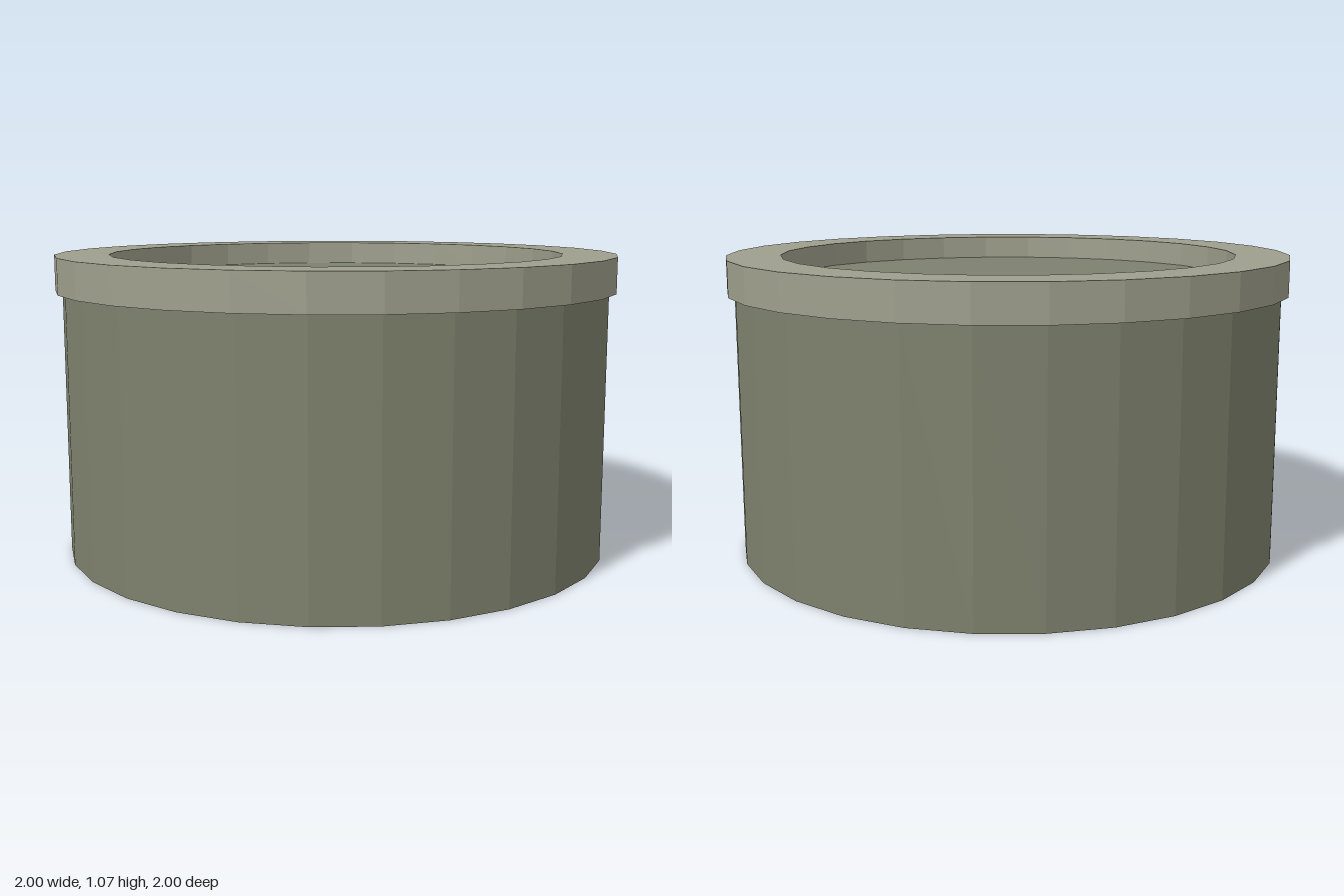
import * as THREE from 'three';

const SIDES = 28;
const BODY_R = 0.975, RIM_R = 1, HOLE_R = 0.81;
const RIM_BOTTOM = 0.94, RIM_TOP = 1.065, FLOOR_Y = 0.98;

const material = (color) => new THREE.MeshStandardMaterial({ color, flatShading: true });

// Faceted solid of revolution from [radius, height] pairs, outer side listed upwards
function turned(name, profile, mat) {
  const points = profile.map(([r, y]) => new THREE.Vector2(r, y));
  const mesh = new THREE.Mesh(new THREE.LatheGeometry(points, SIDES), mat);
  mesh.name = name;
  return mesh;
}

function disc(name, radius, y, facing, mat) {
  const geometry = new THREE.CircleGeometry(radius, SIDES);
  geometry.rotateX(-facing * Math.PI / 2);
  const mesh = new THREE.Mesh(geometry, mat);
  mesh.position.y = y;
  mesh.name = name;
  return mesh;
}

export function createModel() {
  const group = new THREE.Group();
  group.name = 'drum';
  const bodyMat = material(0x7e816d);
  const rimMat = material(0x9f9f8d);

  // Straight drum wall, base and recessed top
  group.add(turned('body', [[BODY_R, 0], [BODY_R, RIM_BOTTOM]], bodyMat));
  group.add(disc('base', BODY_R, 0, -1, bodyMat));
  group.add(disc('recessedTop', HOLE_R, FLOOR_Y, 1, bodyMat));

  // Overhanging rim: underside, outer band, flat top and inner wall
  group.add(turned('rim', [
    [BODY_R, RIM_BOTTOM], [RIM_R, RIM_BOTTOM], [RIM_R, RIM_TOP],
    [HOLE_R, RIM_TOP], [HOLE_R, FLOOR_Y],
  ], rimMat));

  return group;
}
